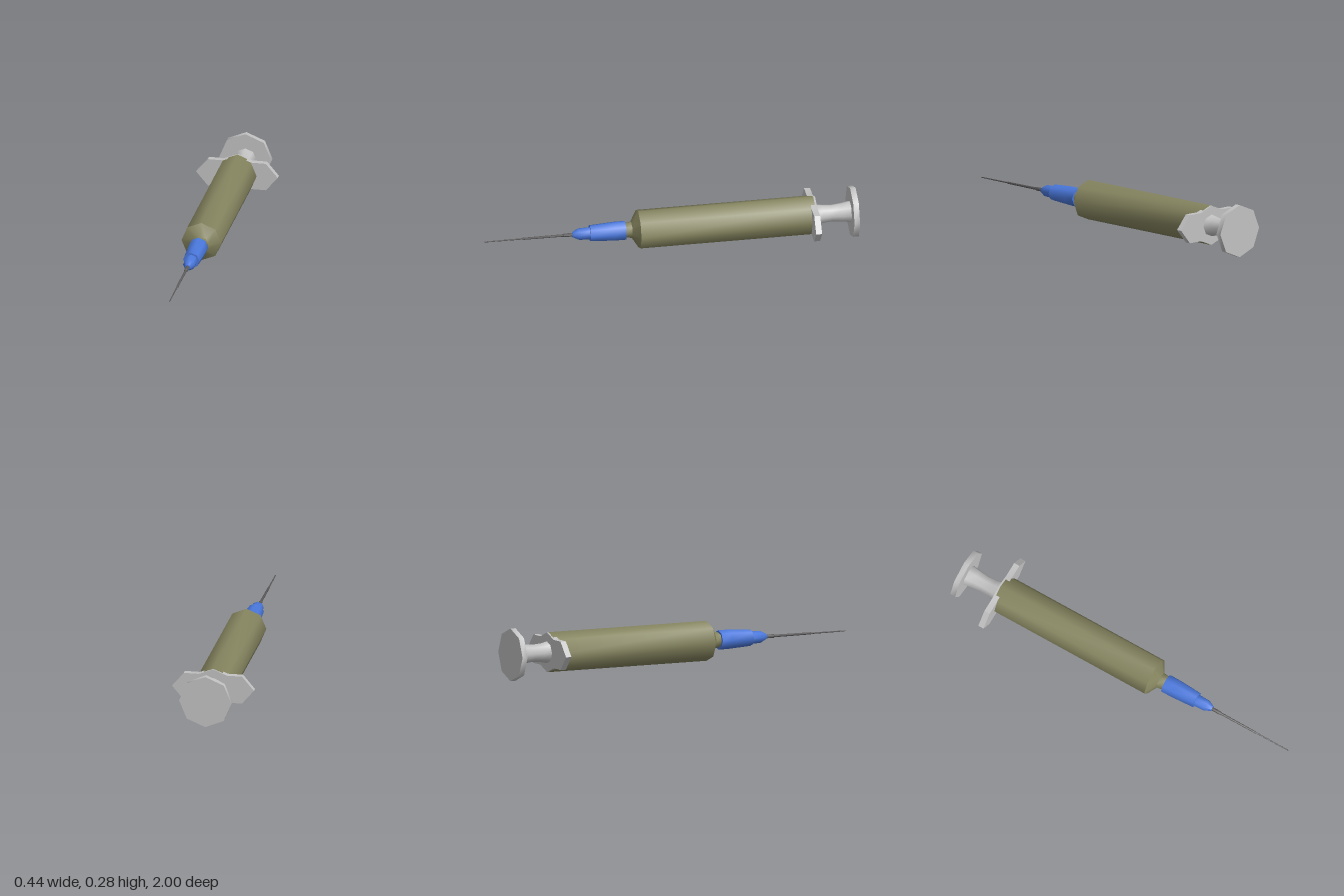
import * as THREE from 'three';
import { toCreasedNormals } from 'three/addons/utils/BufferGeometryUtils.js';

const AXIS_Y = 0.142;
const CREASE = 0.87; // keeps the eight sides smooth and the rims sharp

function material(name, color) {
  const m = new THREE.MeshStandardMaterial({ color });
  m.name = name;
  return m;
}

// Eight-sided turned part along z; profile is [radius, z] from back to front
function turned(name, mat, profile) {
  const geo = new THREE.LatheGeometry(profile.map(([r, z]) => new THREE.Vector2(r, z)), 8);
  geo.rotateX(Math.PI / 2);
  const mesh = new THREE.Mesh(toCreasedNormals(geo, CREASE), mat);
  mesh.name = name;
  return mesh;
}

export function createModel() {
  const olive = material('olive barrel', 0x85845f);
  const grey = material('light grey plastic', 0xc2c2c2);
  const blue = material('blue hub', 0x4a78dc);
  const steel = material('dark steel', 0x5c5a5a);

  const model = new THREE.Group();
  model.name = 'syringe';
  const body = new THREE.Group();
  body.name = 'body';
  body.position.y = AXIS_Y;
  model.add(body);

  // Barrel with tapered shoulder and nozzle
  body.add(turned('barrel', olive, [
    [0, -0.772], [0.107, -0.772], [0.107, 0.17], [0.045, 0.207], [0.04, 0.245], [0, 0.245],
  ]));

  // Finger flange: octagon with two pointed wings
  const quarter = [[0.221, 0], [0.157, 0.076], [0.076, 0.076], [0, 0.106]];
  const outline = [
    ...quarter,
    ...quarter.slice(0, 3).reverse().map(([x, y]) => [-x, y]),
    ...quarter.slice(1).map(([x, y]) => [-x, -y]),
    ...quarter.slice(1, 3).reverse().map(([x, y]) => [x, -y]),
  ];
  const shape = new THREE.Shape(outline.map(([x, y]) => new THREE.Vector2(x, y)));
  const flangeGeo = new THREE.ExtrudeGeometry(shape, { depth: 0.032, bevelEnabled: false });
  flangeGeo.translate(0, 0, -0.782);
  const flange = new THREE.Mesh(toCreasedNormals(flangeGeo, CREASE), grey);
  flange.name = 'fingerFlange';
  body.add(flange);

  // Waisted plunger rod and thumb disc
  body.add(turned('plungerRod', grey, [
    [0.06, -0.975], [0.052, -0.925], [0.046, -0.87], [0.05, -0.82], [0.06, -0.775],
  ]));
  body.add(turned('thumbRest', grey, [
    [0, -1], [0.141, -1], [0.141, -0.97], [0, -0.97],
  ]));

  // Needle hub: tapered collar and stepped nose
  body.add(turned('hubCollar', blue, [
    [0, 0.24], [0.052, 0.24], [0.052, 0.3], [0.044, 0.43], [0, 0.43],
  ]));
  body.add(turned('hubNose', blue, [
    [0.034, 0.42], [0.032, 0.49], [0.014, 0.525], [0, 0.525],
  ]));

  // Needle, stepping down towards the tip
  body.add(turned('needle', steel, [
    [0.01, 0.515], [0.01, 0.57], [0.007, 0.575], [0.006, 0.79], [0.004, 0.795], [0.003, 0.99], [0, 1],
  ]));

  return model;
}
